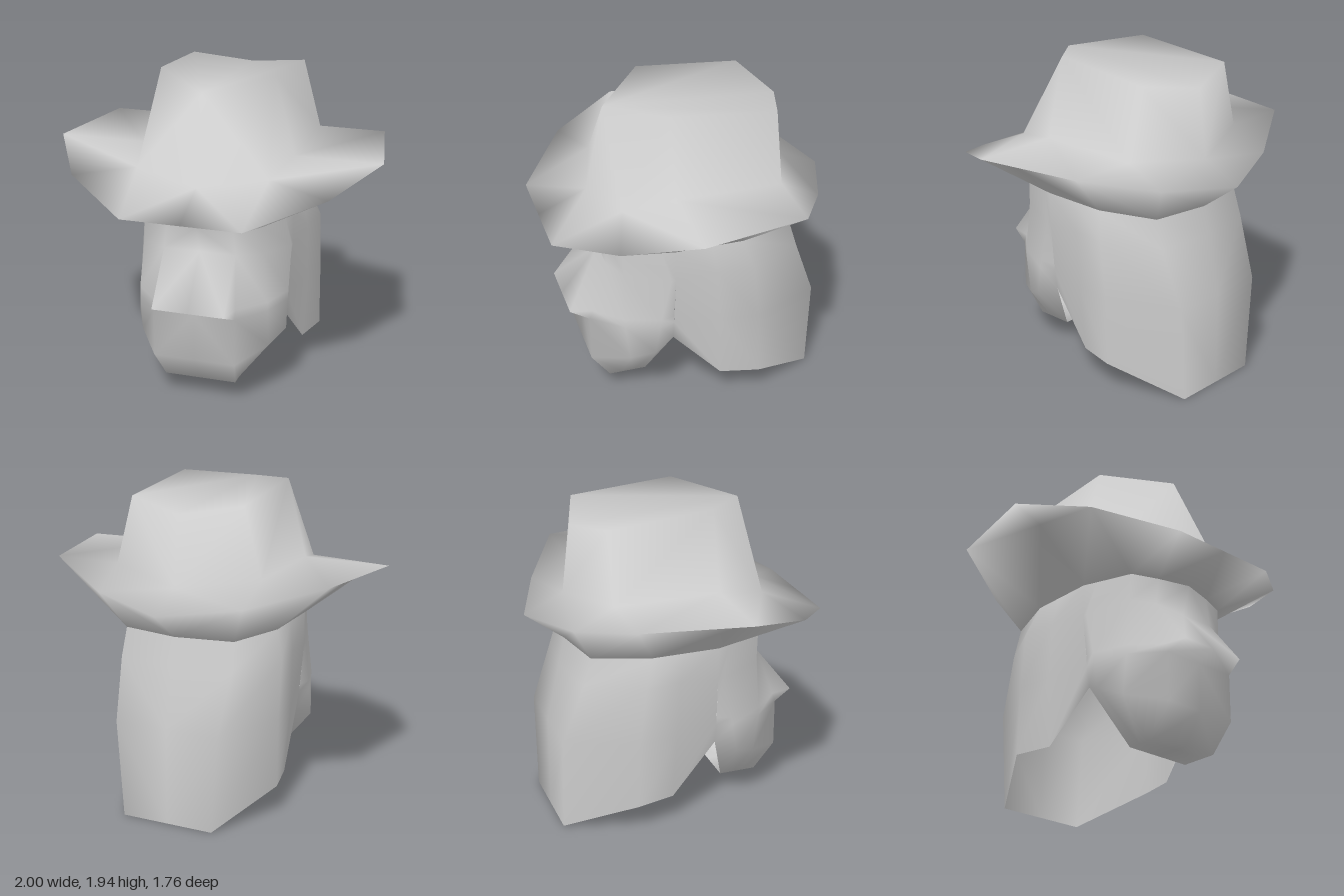
import * as THREE from 'three';
import { mergeGeometries, mergeVertices } from 'three/addons/utils/BufferGeometryUtils.js';

const paleGrey = new THREE.MeshStandardMaterial({ color: 0xcccccc, side: THREE.DoubleSide });
paleGrey.name = 'paleGrey';

const mirror = ([x, y, z]) => [-x, y, z];

// Skin between cross-sections listed top to bottom, each running left to right as seen from outside.
// Quads on the -x half are split the other way, so both halves match.
function loft(rows) {
  const n = rows[0].length, index = [];
  const sideOf = i => rows.reduce((sum, row) => sum + row[i][0] + row[i + 1][0], 0);
  for (let r = 0; r < rows.length - 1; r++) {
    for (let i = 0; i < n - 1; i++) {
      const a = r * n + i, b = a + n;
      if (sideOf(i) >= 0) index.push(a, b, b + 1, a, b + 1, a + 1);
      else index.push(a, b, a + 1, b, b + 1, a + 1);
    }
  }
  const g = new THREE.BufferGeometry();
  g.setAttribute('position', new THREE.Float32BufferAttribute(rows.flat(2), 3));
  g.setIndex(index);
  return g;
}

// Weld the patches and smooth them
function smooth(...patches) {
  const g = mergeVertices(mergeGeometries(patches), 1e-4);
  g.computeVertexNormals();
  return g;
}

// Half section from front to back, closed by its mirror image
const ring = half => [...half, ...half.slice(0, -1).reverse().map(mirror)];
// Half section from the centre outwards, mirrored about the front
const span = half => [...half.slice(1).reverse().map(mirror), ...half];
// Turn vertical columns into horizontal rows
const rowsOf = columns => columns[0].map((_, r) => columns.map(c => c[r]));

export function createModel() {
  const group = new THREE.Group();
  const add = (name, geometry) => {
    const mesh = new THREE.Mesh(geometry, paleGrey);
    mesh.name = name;
    group.add(mesh);
  };

  // Hat: creased crown top, crown edge, crown base, brim edge, brim fold, sweatband
  const crownFront = [0, 1.885, 0.47], peak = [0.35, 1.94, 0.17], crownBack = [0, 1.825, -0.585];
  const crownEdge = [crownFront, crownFront, peak, peak, [0.36, 1.885, -0.47], crownBack, crownBack];
  const crownTop = crownEdge.map(() => crownFront);
  const baseCorner = [0.4, 1.41, 0.47], baseBack = [0, 1.41, -0.64];
  const crownBase = [[0, 1.36, 0.585], baseCorner, baseCorner, [0.47, 1.47, 0.17],
    [0.47, 1.47, -0.47], baseBack, baseBack];
  const brimEdge = [[0, 1.235, 0.88], [0.36, 1.235, 0.88], [0.77, 1.36, 0.58], [1, 1.47, 0.17],
    [0.88, 1.47, -0.47], [0.46, 1.35, -0.71], [0, 1.3, -0.88]];
  const brimFold = brimEdge.with(3, [0.81, 1.403, 0.17]);
  const band = [[0, 1.12, 0.585], [0.2, 1.12, 0.53], [0.36, 1.12, 0.47], [0.47, 1.12, 0.17],
    [0.47, 1.12, -0.24], [0.35, 1.12, -0.58], [0, 1.12, -0.64]];
  add('hat', smooth(loft([crownTop, crownEdge, crownBase, brimEdge, brimFold, band].map(ring))));

  // Face mask with a jutting nose ledge: columns from the centre to the side notch
  const mask = [
    [[0, 1.12, 0.585], [0, 0.95, 0.53], [0, 0.65, 0.765], [0, 0.595, 0.65], [0, 0.3, 0.65], [0, 0.125, 0.53]],
    [[0.2, 1.12, 0.53], [0.22, 0.95, 0.53], [0.22, 0.65, 0.765], [0.25, 0.595, 0.65], [0.25, 0.3, 0.65], [0.22, 0.125, 0.53]],
    [[0.2, 1.12, 0.53], [0.22, 0.95, 0.53], [0.25, 0.65, 0.632], [0.25, 0.595, 0.65], [0.25, 0.3, 0.65], [0.22, 0.125, 0.53]],
    [[0.36, 1.12, 0.47], [0.37, 0.95, 0.46], [0.4, 0.65, 0.47], [0.4, 0.595, 0.47], [0.4, 0.36, 0.44], [0.22, 0.125, 0.45]],
    [[0.44, 1.12, 0.25], [0.47, 0.92, 0.2], [0.47, 0.65, 0.26], [0.47, 0.6, 0.27], [0.47, 0.42, 0.3], [0.22, 0.125, 0.38]],
    [[0.47, 1.12, 0.17], [0.47, 0.92, 0.17], [0.445, 0.65, 0.175], [0.44, 0.6, 0.175], [0.42, 0.475, 0.175], [0.22, 0.125, 0.3]],
  ];
  // Neck cape: columns from the side notch to the centre of the back
  const cape = [
    [0, 1, 3, 4].map(r => mask[5][r]),
    [[0.47, 1.12, -0.05], [0.5, 0.95, -0.08], [0.5, 0.6, -0.1], [0.47, 0.18, -0.115]],
    [[0.47, 1.12, -0.24], [0.525, 0.95, -0.3], [0.525, 0.6, -0.34], [0.525, 0.18, -0.35]],
    [[0.35, 1.12, -0.58], [0.36, 0.95, -0.63], [0.33, 0.59, -0.76], [0.29, 0, -0.76]],
    [[0, 1.12, -0.64], [0, 0.95, -0.68], [0, 0.59, -0.76], [0, 0, -0.76]],
  ];
  // Flat underside of the chin, joining the lower ends of the mask columns
  const chin = mask.slice(2).map(column => span([[0, 0.125, column[5][2]], column[5]]));
  add('headCovering', smooth(loft(rowsOf(mask).map(span)), loft(rowsOf(cape).map(ring)), loft(chin)));

  return group;
}
